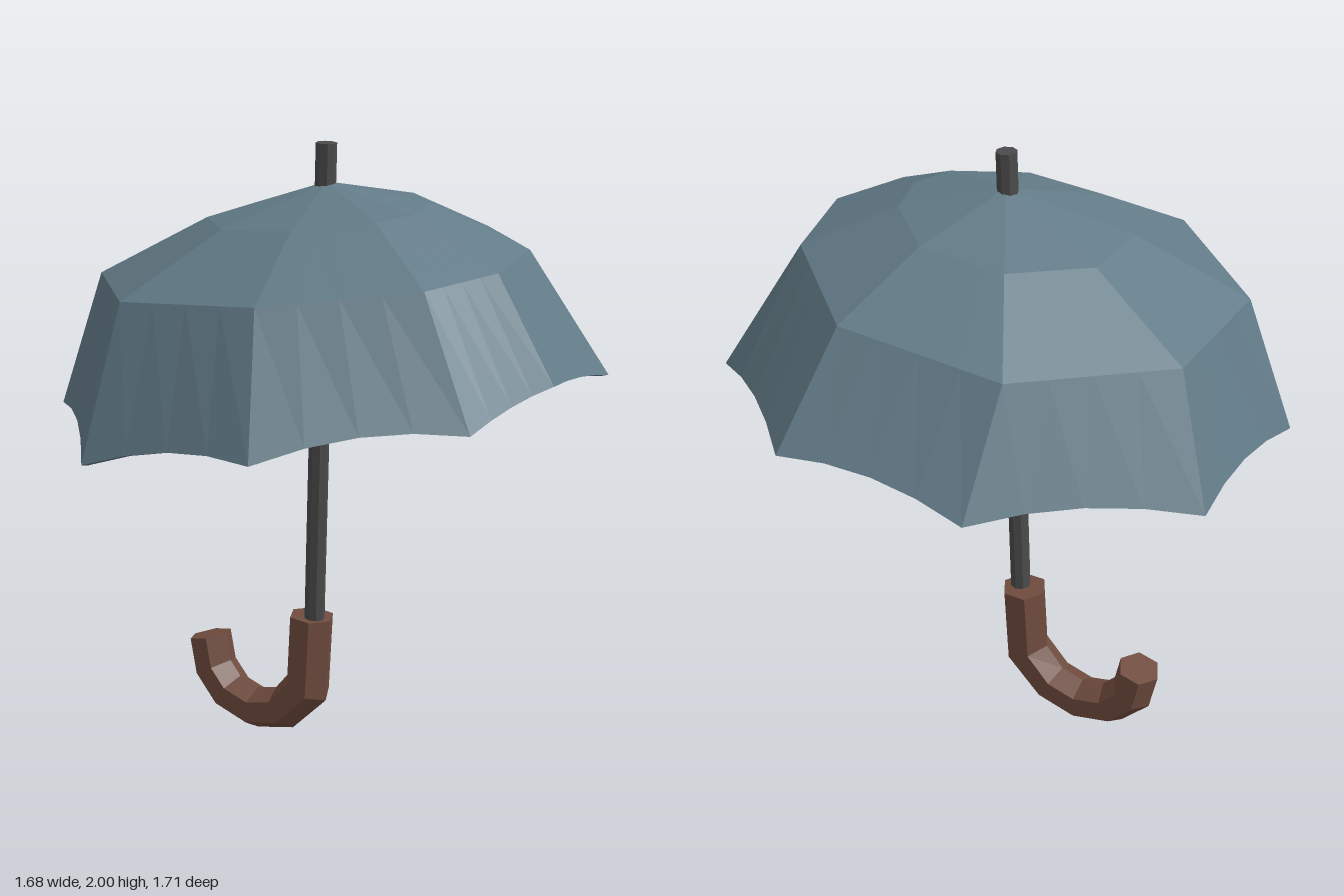
import * as THREE from 'three';

// Skin a list of equal-length closed rings of Vector3; optionally cap both ends.
function loft(rings, caps) {
  const n = rings[0].length;
  const points = rings.flat();
  const index = [];
  for (let i = 0; i < rings.length - 1; i++) {
    for (let j = 0; j < n; j++) {
      const k = (j + 1) % n;
      const a = i * n + j, b = i * n + k, c = (i + 1) * n + k, d = (i + 1) * n + j;
      index.push(a, b, d, b, c, d);
    }
  }
  if (caps) {
    const last = (rings.length - 1) * n;
    for (let j = 1; j < n - 1; j++) {
      index.push(0, j + 1, j, last, last + j, last + j + 1);
    }
  }
  const geometry = new THREE.BufferGeometry().setFromPoints(points);
  geometry.setIndex(index);
  geometry.computeVertexNormals();
  return geometry;
}

// Canopy ribs: [rim x, y, z, shoulder x, z, scallop of the panel after the rib]
const RIBS = [
  [-0.35, 1.31, -0.80, -0.34, -0.57, 1],
  [0.24, 1.37, -0.855, 0.19, -0.60, 1],
  [0.75, 1.29, -0.44, 0.56, -0.27, 0.3],
  [0.84, 1.35, 0.03, 0.66, 0.06, 0.3],
  [0.80, 1.27, 0.40, 0.59, 0.33, 1],
  [0.35, 1.20, 0.82, 0.22, 0.63, 1],
  [-0.26, 1.11, 0.85, -0.26, 0.67, 1],
  [-0.81, 1.13, 0.37, -0.66, 0.33, 1],
  [-0.845, 1.22, -0.29, -0.69, -0.17, 1],
];

function canopyGeometry() {
  const apex = new THREE.Vector3(0.025, 1.88, 0.045);
  const steps = 4;
  const rows = [[], [], [], []];
  const tilt = (p, y) => p.setY(y + 0.06 * p.x - 0.07 * p.z);
  RIBS.forEach((rib, r) => {
    const next = RIBS[(r + 1) % RIBS.length];
    const shoulder = (q) => tilt(new THREE.Vector3(q[3], 0, q[4]), 1.63);
    const upper = (q) => tilt(shoulder(q).lerp(apex, 0.48), 1.79);
    const rim = (q) => new THREE.Vector3(q[0], q[1], q[2]);
    for (let s = 0; s < steps; s++) {
      const t = s / steps;
      const curve = 4 * t * (1 - t) * rib[5];
      const edge = rim(rib).lerp(rim(next), t);
      edge.x *= 1 - 0.022 * curve;
      edge.z *= 1 - 0.022 * curve;
      edge.y += 0.035 * curve;
      rows[0].push(apex.clone());
      rows[1].push(upper(rib).lerp(upper(next), t));
      rows[2].push(shoulder(rib).lerp(shoulder(next), t));
      rows[3].push(edge);
    }
  });
  // Inner skin, following the outer one back up to the apex
  const drop = [0.02, 0.02, 0.016, 0.004];
  const inner = rows.map((row, i) =>
    row.map((p) => new THREE.Vector3(p.x * 0.975, p.y - drop[i], p.z * 0.975)));
  return loft([...rows, ...inner.reverse()], false);
}

// Hexagonal section swept along a flat hooked path
function handleGeometry() {
  const path = [
    [-0.074, 0.45], [-0.09, 0.2], [-0.19, 0.1], [-0.305, 0.073],
    [-0.42, 0.105], [-0.49, 0.18], [-0.513, 0.29],
  ].map(([x, y]) => new THREE.Vector2(x, y));
  const rings = path.map((p, i) => {
    const before = path[Math.max(i - 1, 0)];
    const after = path[Math.min(i + 1, path.length - 1)];
    const dirIn = p.clone().sub(before).normalize();
    const dirOut = after.clone().sub(p).normalize();
    const t = dirIn.clone().add(dirOut).normalize();
    const isEnd = before === p || after === p;
    const miter = isEnd ? 1 : 1 / t.dot(dirOut);
    const radius = i < 2 ? 0.076 : 0.07;
    return Array.from({ length: 6 }, (_, k) => {
      const a = (k * Math.PI) / 3;
      const across = Math.cos(a) * radius * miter;
      return new THREE.Vector3(p.x - t.y * across, p.y + t.x * across, Math.sin(a) * 0.075);
    });
  });
  return loft(rings, true);
}

export function createModel() {
  const canopyBlue = new THREE.MeshStandardMaterial({ color: 0x637c88, flatShading: true, side: THREE.DoubleSide });
  canopyBlue.name = 'canopyBlue';
  const shaftGrey = new THREE.MeshStandardMaterial({ color: 0x4b4b4b, flatShading: true });
  shaftGrey.name = 'shaftGrey';
  const handleBrown = new THREE.MeshStandardMaterial({ color: 0x704c3e, flatShading: true });
  handleBrown.name = 'handleBrown';

  const model = new THREE.Group();
  model.name = 'umbrella';
  const add = (name, geometry, material) => {
    const mesh = new THREE.Mesh(geometry, material);
    mesh.name = name;
    model.add(mesh);
    return mesh;
  };

  add('canopy', canopyGeometry(), canopyBlue);
  add('handle', handleGeometry(), handleBrown);

  // Leaning shaft, running through the canopy to form the tip
  const foot = new THREE.Vector3(-0.057, 0.4, 0.008);
  const tip = new THREE.Vector3(0.027, 1.998, 0.05);
  const axis = tip.clone().sub(foot);
  const shaft = add('shaft', new THREE.CylinderGeometry(0.033, 0.033, axis.length(), 8), shaftGrey);
  shaft.position.copy(foot).add(tip).multiplyScalar(0.5);
  shaft.quaternion.setFromUnitVectors(new THREE.Vector3(0, 1, 0), axis.normalize());

  return model;
}
